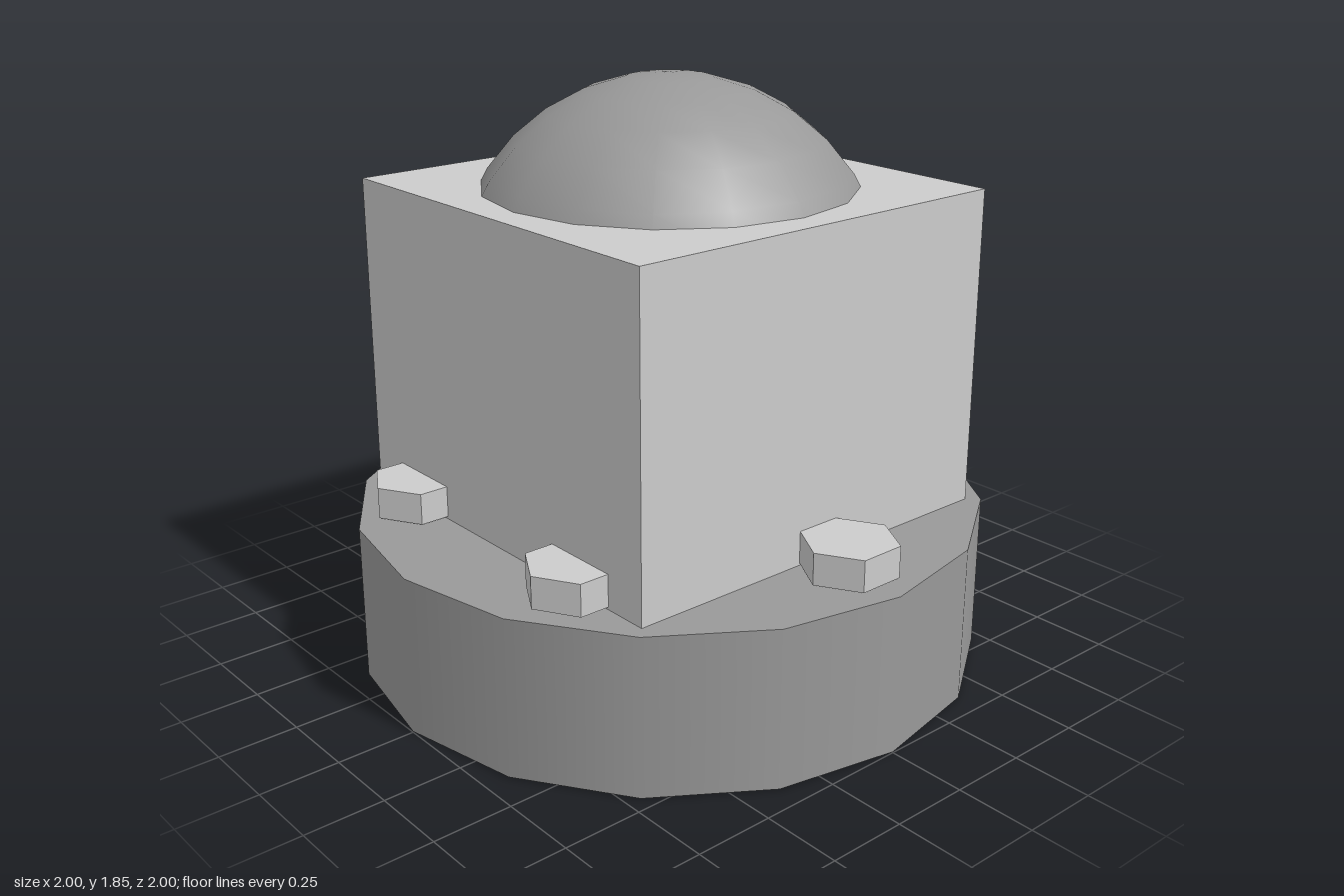
import * as THREE from 'three';

export function createModel() {
  const model = new THREE.Group();
  const light = new THREE.MeshStandardMaterial({ color: 0xcccccc });
  const faceted = new THREE.MeshStandardMaterial({ color: 0xcccccc, flatShading: true });
  const dark = new THREE.MeshStandardMaterial({ color: 0x999999 });

  const add = (name, geometry, material, x, y, z) => {
    const mesh = new THREE.Mesh(geometry, material);
    mesh.name = name;
    mesh.position.set(x, y, z);
    model.add(mesh);
    return mesh;
  };

  // Round base with a lighter disc set into its underside
  add('base', new THREE.CylinderGeometry(1, 1, 0.5, 16), dark, 0, 0.253, 0);
  add('bottomDisc', new THREE.CylinderGeometry(0.62, 0.62, 0.1, 16), light, 0, 0.05, 0);

  // Cube body, sunk into the base
  const size = 1.344;
  add('body', new THREE.BoxGeometry(size, size, size), light, 0, 1.515 - size / 2, 0);

  // Sphere inside the body; only its cap rises above the top
  add('dome', new THREE.SphereGeometry(0.672, 16, 16), dark, 0, 1.181, 0);

  // Ring of six hexagonal bolts
  const boltGeometry = new THREE.CylinderGeometry(0.148, 0.148, 0.1, 6);
  for (let i = 0; i < 6; i++) {
    const angle = (i * Math.PI) / 3;
    add('bolt' + (i + 1), boltGeometry, faceted, 0.8 * Math.cos(angle), 0.561, 0.8 * Math.sin(angle));
  }

  return model;
}
